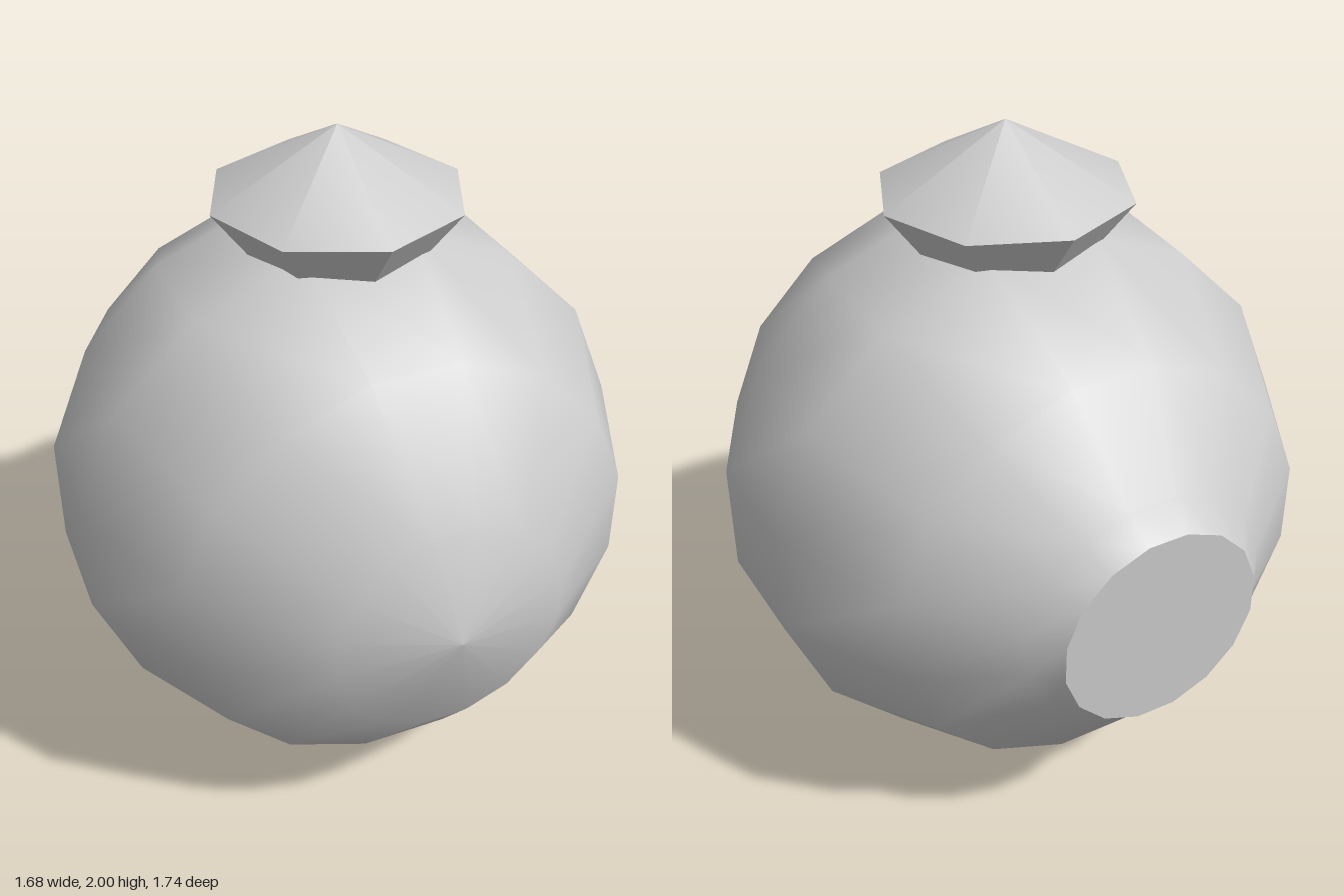
import * as THREE from 'three';

export function createModel() {
  const group = new THREE.Group();
  const grey = new THREE.MeshStandardMaterial({ color: 0xcccccc });
  grey.name = 'light grey';
  const flatGrey = grey.clone();
  flatGrey.flatShading = true;

  const add = (name, geometry, material, y) => {
    const mesh = new THREE.Mesh(geometry, material);
    mesh.name = name;
    mesh.position.y = y;
    group.add(mesh);
  };

  // Round body, turned about the front-to-back axis: [radius, z]
  const SIDES = 16, OFFSET = Math.PI / SIDES, CENTRE = 0.865;
  const profile = [
    [0.305, -0.87], [0.372, -0.79], [0.65, -0.583], [0.847, -0.2],
    [0.857, 0.15], [0.68, 0.54], [0.341, 0.803], [0, 0.87],
  ].map(([r, z]) => new THREE.Vector2(r, z));
  const body = new THREE.LatheGeometry(profile, SIDES, OFFSET).rotateX(Math.PI / 2);
  add('body', body, grey, CENTRE);

  // Flat disc closing the back
  const disc = new THREE.CircleGeometry(0.305, SIDES, OFFSET).rotateY(Math.PI).translate(0, 0, -0.87);
  add('backDisc', disc, grey, CENTRE);

  // Eight-sided cap: smooth cone over a faceted tapering collar
  add('capTop', new THREE.ConeGeometry(0.368, 0.2, 8, 1, true), grey, 1.9);
  add('capCollar', new THREE.CylinderGeometry(0.368, 0.222, 0.2, 8), flatGrey, 1.7);

  // Eight-sided foot, widening upwards into the body
  add('foot', new THREE.CylinderGeometry(0.322, 0.222, 0.12, 8), flatGrey, 0.06);

  return group;
}
